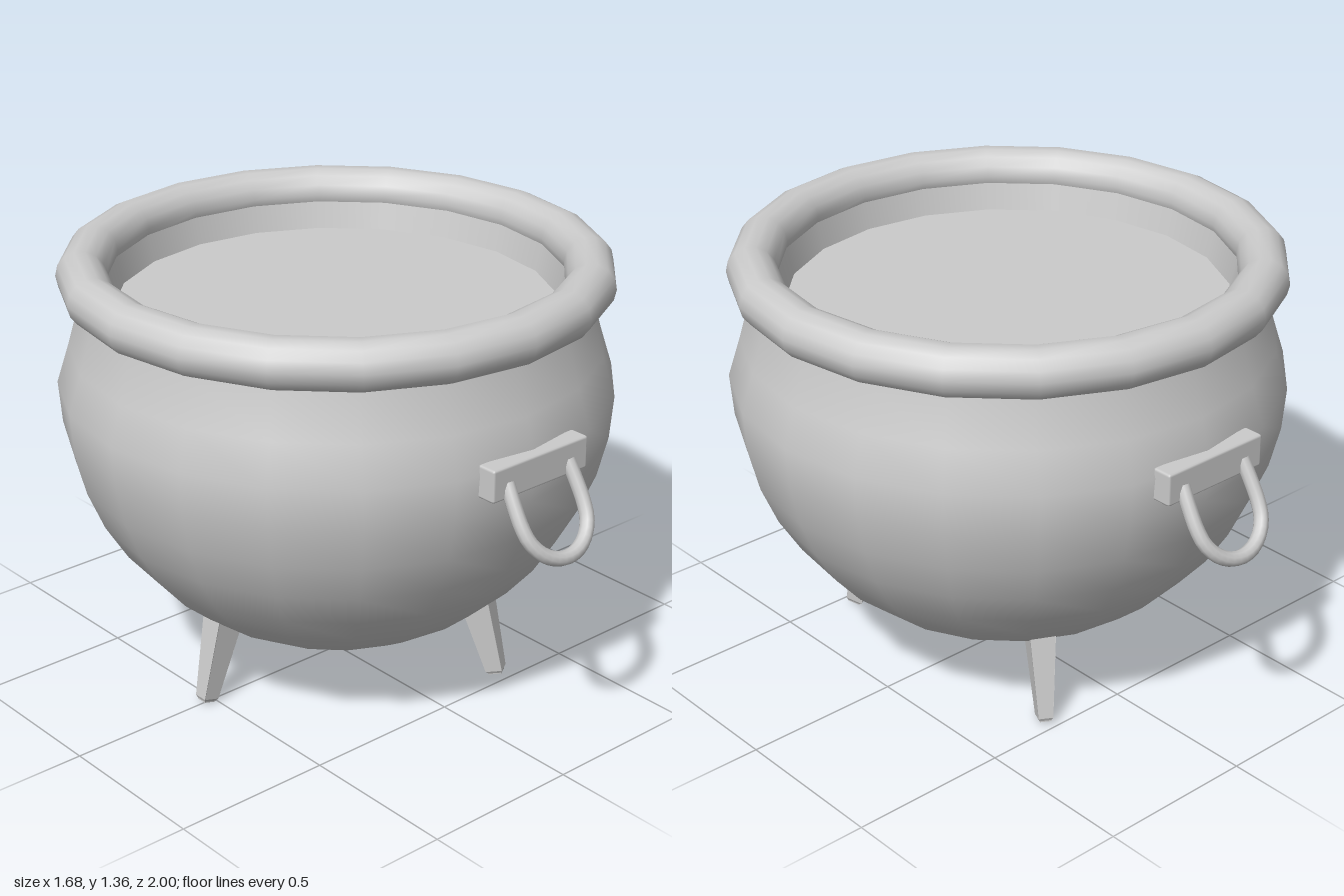
import * as THREE from 'three';
import { RoundedBoxGeometry } from 'three/addons/geometries/RoundedBoxGeometry.js';

const SIDES = 20;
const material = new THREE.MeshStandardMaterial({ color: 0xcccccc });
const doubleSided = new THREE.MeshStandardMaterial({ color: 0xcccccc, side: THREE.DoubleSide });

function addMesh(parent, name, geometry, mat = material) {
  const mesh = new THREE.Mesh(geometry, mat);
  mesh.name = name;
  parent.add(mesh);
  return mesh;
}

const lathe = (points) =>
  new THREE.LatheGeometry(points.map(([x, y]) => new THREE.Vector2(x, y)), SIDES);

// Tapered leg with softened edges, splayed outwards along +x
function legGeometry() {
  const height = 0.31;
  const g = new RoundedBoxGeometry(1, height, 1, 1, 0.012);
  const p = g.attributes.position;
  for (let i = 0; i < p.count; i++) {
    const t = p.getY(i) / height + 0.5;
    // pinch the cross-section at the foot, then lean it
    const corner = Math.abs(p.getX(i)) > 0.49 && Math.abs(p.getZ(i)) > 0.49 ? 0.86 : 1;
    const foot = t < 0.02 ? 0.8 : 1;
    const radial = THREE.MathUtils.lerp(0.052, 0.1, t) * foot * corner;
    const tangential = THREE.MathUtils.lerp(0.044, 0.084, t) * foot * corner;
    p.setXYZ(i, p.getX(i) * radial, p.getY(i) + height / 2, p.getZ(i) * tangential);
  }
  g.rotateZ(0.27);
  g.translate(0.528, 0.008, 0);
  g.computeVertexNormals();
  return g;
}

// Mounting plate with a hanging U-shaped ring, on the +z side
function createHandle(name) {
  const handle = new THREE.Group();
  handle.name = name;
  const plate = addMesh(handle, 'handlePlate', new RoundedBoxGeometry(0.37, 0.1, 0.065, 1, 0.008));
  plate.position.set(0, 0.93, 0.832);

  const points = [];
  const legLength = 0.13, radius = 0.123;
  points.push(new THREE.Vector3(-radius + 0.004, 0, 0), new THREE.Vector3(-radius, -legLength / 2, 0));
  for (let i = 0; i <= 8; i++) {
    const a = Math.PI + (i / 8) * Math.PI;
    points.push(new THREE.Vector3(radius * Math.cos(a), -legLength + radius * Math.sin(a), 0));
  }
  points.push(new THREE.Vector3(radius, -legLength / 2, 0), new THREE.Vector3(radius - 0.004, 0, 0));
  const ring = addMesh(handle, 'handleRing',
    new THREE.TubeGeometry(new THREE.CatmullRomCurve3(points), 28, 0.022, 10));
  ring.position.set(0, 0.922, 0.85);
  ring.rotation.x = -0.53;
  return handle;
}

export function createModel() {
  const model = new THREE.Group();
  model.name = 'cauldron';

  // Round belly narrowing to the neck
  const belly = [];
  for (let i = 0; i <= 10; i++) {
    const a = (i / 10) * Math.PI / 2;
    belly.push([0.84 * Math.sin(a), 0.95 - 0.84 * Math.cos(a)]);
  }
  belly.push([0.802, 1.07], [0.765, 1.2], [0.755, 1.28]);
  addMesh(model, 'belly', lathe(belly));

  // Thick rolled rim
  const rim = new THREE.TorusGeometry(0.755, 0.075, 14, SIDES);
  rim.rotateX(-Math.PI / 2);
  rim.translate(0, 1.285, 0);
  addMesh(model, 'rim', rim);

  // Inner wall and the flat surface of the contents
  addMesh(model, 'innerWall', lathe([[0.69, 1.285], [0.665, 1.18]]), doubleSided);
  const contents = new THREE.CircleGeometry(0.665, SIDES);
  contents.rotateX(-Math.PI / 2);
  contents.translate(0, 1.18, 0);
  addMesh(model, 'contents', contents);

  // Front and back handles
  model.add(createHandle('frontHandle'));
  const back = createHandle('backHandle');
  back.rotation.y = Math.PI;
  model.add(back);

  // Three splayed legs
  const leg = legGeometry();
  ['frontLeftLeg', 'backLeftLeg', 'rightLeg'].forEach((name, i) => {
    addMesh(model, name, leg).rotation.y = [-1, 1, 3][i] * Math.PI / 3;
  });

  return model;
}
